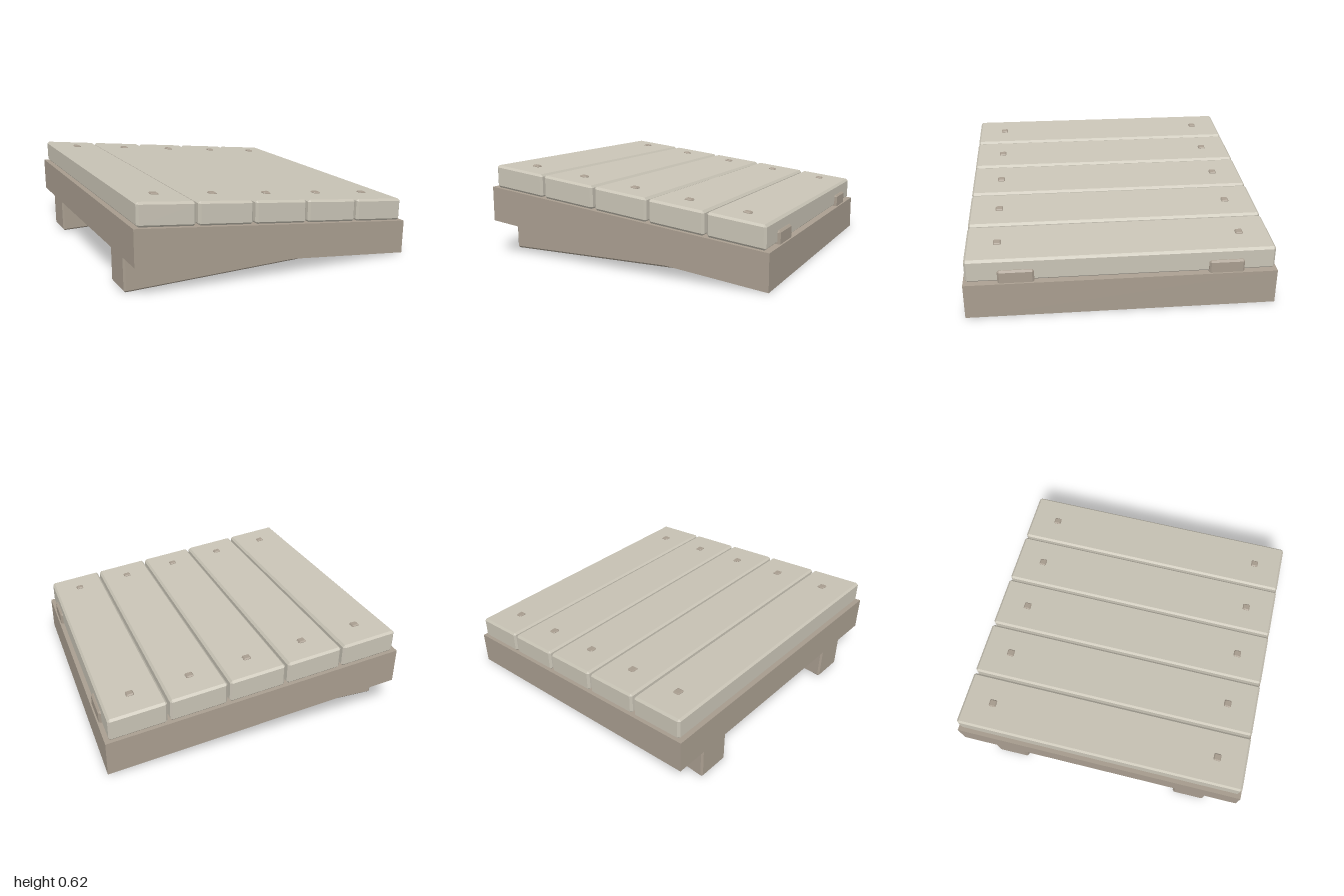
import * as THREE from 'three';
import { ConvexGeometry } from 'three/addons/geometries/ConvexGeometry.js';

const SLOPE = -0.12;

// Box with chamfered edges, sheared so that it follows the slope while its sides stay upright
function chamferBox(w, h, d, c, slope = 0) {
  const pts = [];
  for (const x of [-1, 1]) for (const y of [-1, 1]) for (const z of [-1, 1]) {
    for (let k = 0; k < 3; k++) {
      const px = x * (w / 2 - (k === 0 ? 0 : c));
      const py = y * (h / 2 - (k === 1 ? 0 : c));
      const pz = z * (d / 2 - (k === 2 ? 0 : c));
      pts.push(new THREE.Vector3(px, py + slope * px, pz));
    }
  }
  return new ConvexGeometry(pts);
}

export function createModel() {
  const group = new THREE.Group();
  const plankMat = new THREE.MeshStandardMaterial({ color: 0xc8c3b5 });
  plankMat.name = 'pale wood';
  const frameMat = new THREE.MeshStandardMaterial({ color: 0xa89d8f });
  frameMat.name = 'dark wood';

  const add = (name, geo, mat, x, y, z) => {
    const mesh = new THREE.Mesh(geo, mat);
    mesh.name = name;
    mesh.position.set(x, y, z);
    group.add(mesh);
  };

  // Sloping base slab with upright ends
  const s = new THREE.Shape();
  s.moveTo(-1, 0.24);
  s.lineTo(1, 0);
  s.lineTo(1, 0.235);
  s.lineTo(-1, 0.475);
  s.closePath();
  const slab = new THREE.ExtrudeGeometry(s, { depth: 2, bevelEnabled: false });
  add('baseSlab', slab, frameMat, 0, 0, -1);

  // Level support beams, passing through the slab
  const beam = chamferBox(1.98, 0.32, 0.23, 0.012);
  for (const side of [-1, 1]) add('supportBeam', beam, frameMat, 0, 0.16, side * 0.67);

  // Planks with a pair of nail heads each
  const plank = chamferBox(0.376, 0.152, 1.972, 0.014, SLOPE);
  const nail = chamferBox(0.05, 0.036, 0.05, 0.007, SLOPE);
  for (let i = -2; i <= 2; i++) {
    const x = i * 0.3925;
    add('plank', plank, plankMat, x, 0.432 + SLOPE * x, 0);
    for (const side of [-1, 1]) add('nailHead', nail, frameMat, x, 0.5 + SLOPE * x, side * 0.785);
  }
  return group;
}
